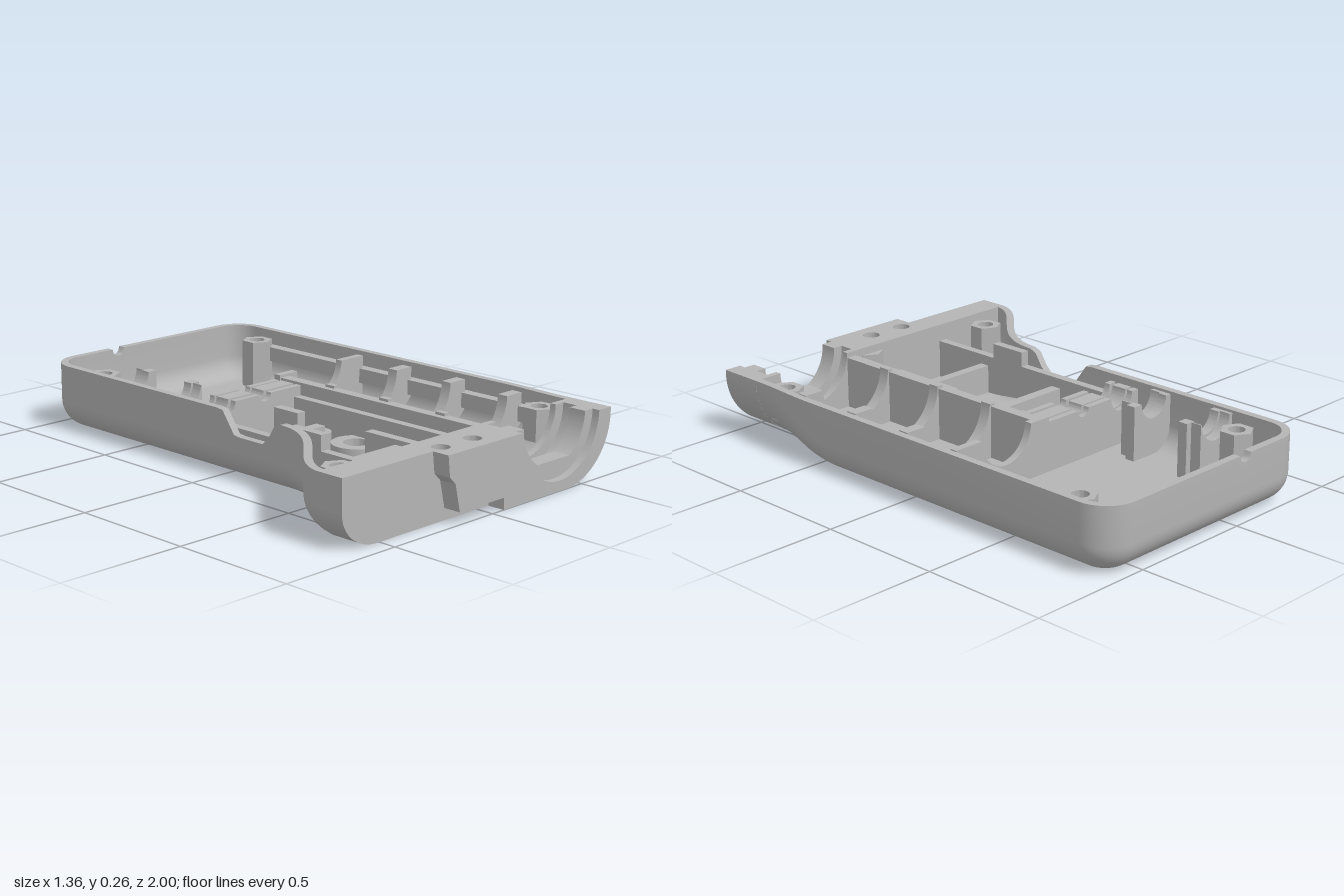
import * as THREE from 'three';
import { toCreasedNormals } from 'three/addons/utils/BufferGeometryUtils.js';

const H = 0.26, WALL = 0.03, FLOOR = 0.035, END = 0.815;

export function createModel() {
  const group = new THREE.Group();
  const grey = new THREE.MeshStandardMaterial({ color: 0xb4b4b4 });
  grey.name = 'plastic grey';

  const add = (name, geometry) => {
    const mesh = new THREE.Mesh(geometry, grey);
    mesh.name = name;
    group.add(mesh);
  };
  const box = (name, x0, x1, y0, y1, z0, z1) =>
    add(name, new THREE.BoxGeometry(x1 - x0, y1 - y0, z1 - z0)
      .translate((x0 + x1) / 2, (y0 + y1) / 2, (z0 + z1) / 2));
  // xy section pushed along z
  const alongZ = (name, shape, z0, z1) =>
    add(name, toCreasedNormals(new THREE.ExtrudeGeometry(shape,
      { depth: z1 - z0, bevelEnabled: false, curveSegments: 32 }).translate(0, 0, z0), 0.5));
  // xz plan raised from y0 to y1
  const upward = (name, shape, y0, y1) =>
    add(name, toCreasedNormals(new THREE.ExtrudeGeometry(shape,
      { depth: y1 - y0, bevelEnabled: false, curveSegments: 24 })
      .rotateX(Math.PI / 2).translate(0, y1, 0), 0.5));
  const hole = (x, z, r) => new THREE.Path().absarc(x, z, r, 0, Math.PI * 2, true);
  const polygon = (pts) => new THREE.Shape(pts.map(([x, y]) => new THREE.Vector2(x, y)));

  // Plan outline, from the left front corner round the back to the right front
  const outline = new THREE.CubicBezierCurve(
    new THREE.Vector2(-0.68, END), new THREE.Vector2(-0.66, 0.65),
    new THREE.Vector2(-0.375, 0.55), new THREE.Vector2(-0.375, 0.33)).getPoints(24);
  for (let z = 0.3; z > -0.1; z -= 0.03) outline.push(new THREE.Vector2(-0.375, z));
  const corner = (cx, cz, a0) => {
    for (let i = 0; i <= 10; i++) {
      const a = a0 + (i / 10) * Math.PI / 2;
      outline.push(new THREE.Vector2(cx + 0.13 * Math.cos(a), cz + 0.13 * Math.sin(a)));
    }
  };
  corner(-0.245, -0.87, Math.PI);
  for (let i = -5; i <= 5; i++) outline.push(new THREE.Vector2(-0.035 + i * 0.006, -1));
  corner(0.545, -0.87, -Math.PI / 2);
  for (let z = 0.3; z < 0.8; z += 0.05)
    outline.push(new THREE.Vector2(0.675 - 0.015 * THREE.MathUtils.smoothstep(z, 0.5, 0.8), z));
  outline.push(new THREE.Vector2(0.66, END));

  // Rim height: side cut-out and small cable notch at the back
  const rim = (p) => {
    if (p.y < -0.99) return H - Math.sqrt(Math.max(0, 0.0009 - (p.x + 0.035) ** 2));
    if (p.x < -0.36 && p.x > -0.38) {
      const s = THREE.MathUtils.smoothstep;
      return H - 0.09 * s(p.y, 0.02, 0.1) * (1 - s(p.y, 0.24, 0.32));
    }
    return H;
  };

  // Shell wall: one closed section per outline point, lower edge rounding grows to the front
  const bottom = [];
  const columns = outline.map((p, i) => {
    const a = outline[Math.max(i - 1, 0)], b = outline[Math.min(i + 1, outline.length - 1)];
    const t = b.clone().sub(a).normalize();
    let n = new THREE.Vector2(-t.y, t.x);
    if (i === 0) n = new THREE.Vector2(1, 0);
    if (i === outline.length - 1) n = new THREE.Vector2(-1, 0);
    const s = THREE.MathUtils.smoothstep(p.y, 0.4, 0.8);
    const rx = 0.11 + (p.x > 0 ? 0.14 : 0.06) * s, ry = 0.11 + (p.x > 0 ? 0.13 : 0.03) * s;
    const at = (inset, y) => [p.x + n.x * inset, y, p.y + n.y * inset];
    const col = [];
    for (let k = 0; k <= 10; k++) {
      const g = (k / 10) * Math.PI / 2;
      col.push(at(rx * (1 - Math.sin(g)), ry * (1 - Math.cos(g))));
    }
    col.push(at(0, rim(p)), at(WALL, rim(p)));
    for (let k = 10; k >= 0; k--) {
      const g = (k / 10) * Math.PI / 2;
      col.push(at(WALL + (rx - 0.02) * (1 - Math.sin(g)), FLOOR + (ry - 0.02) * (1 - Math.cos(g))));
    }
    bottom.push([col[0][0], col[0][2]]);
    return col;
  });
  const index = [], rows = columns[0].length;
  for (let i = 0; i < columns.length - 1; i++)
    for (let j = 0; j < rows - 1; j++) {
      const a = i * rows + j, b = a + rows;
      index.push(a, a + 1, b + 1, a, b + 1, b);
    }
  const shell = new THREE.BufferGeometry();
  shell.setAttribute('position', new THREE.Float32BufferAttribute(columns.flat(2), 3));
  shell.setIndex(index);
  add('shellWall', toCreasedNormals(shell, 0.6));

  // Floor slab with two through holes
  const floor = polygon(bottom);
  floor.holes.push(hole(0.06, 0.29, 0.05), hole(0.06, 0.08, 0.03));
  upward('floor', floor, 0, FLOOR);

  // Front block in slices: the round port changes radius along its depth
  const frontSlice = (z0, z1, R, wide, pocket) => {
    const s = new THREE.Shape();
    if (wide) {
      s.moveTo(-0.68, H); s.lineTo(-0.68, 0.14);
      s.absellipse(-0.51, 0.14, 0.17, 0.14, Math.PI, Math.PI * 1.5, false);
    } else {
      s.moveTo(-0.24, H);
      [[-0.23, 0.18], [-0.2, 0.15], [-0.175, 0.045], [0.06, 0.045], [0.06, 0]]
        .forEach(([x, y]) => s.lineTo(x, y));
    }
    s.absellipse(0.41, 0.24, 0.25, 0.24, -Math.PI / 2, 0, false);
    s.lineTo(0.66, H);
    s.absarc(0.37, H, R, 0, Math.PI, true);
    if (pocket) [[0.03, H], [0.03, 0.19], [-0.225, 0.19], [-0.225, H]]
      .forEach(([x, y]) => s.lineTo(x, y));
    alongZ('frontBlock', s, z0, z1);
  };
  [[END, 0.84, 0.17, true, false], [0.84, 0.87, 0.215, true, false],
    [0.87, 0.9, 0.215, true, true], [0.9, 0.93, 0.175, true, true],
    [0.93, 0.955, 0.175, false, true], [0.955, 0.97, 0.175, false, false],
    [0.97, 1, 0.22, false, false]].forEach((a) => frontSlice(...a));
  const plate = polygon([[-0.225, 0.87], [0.03, 0.87], [0.03, 0.955], [-0.225, 0.955]]);
  plate.holes.push(hole(-0.18, 0.912, 0.034), hole(-0.02, 0.917, 0.034));
  upward('pegHolePlate', plate, 0.19, H);
  box('portPad', 0.26, 0.48, 0.05, 0.11, 0.9, 0.97);

  // Cross ribs with round saddles; cl and cr chamfer the lower corners
  const rib = (name, x0, x1, top, notches, z0, z1, cl, cr) => {
    const y0 = 0.03, s = new THREE.Shape();
    s.moveTo(x0, top); s.lineTo(x0, y0 + cl); s.lineTo(x0 + cl, y0);
    s.lineTo(x1 - cr, y0); s.lineTo(x1, y0 + cr); s.lineTo(x1, top);
    notches.forEach(([cx, r]) => s.absarc(cx, top, r, 0, Math.PI, true));
    alongZ(name, s, z0, z1);
  };
  rib('bayEndWall', 0.15, 0.62, 0.25, [[0.37, 0.125]], -0.24, -0.21, 0, 0.05);
  [0.01, 0.29, 0.57].forEach((z) =>
    rib('baySaddle', 0.18, 0.62, 0.25, [[0.37, 0.165]], z, z + 0.045, 0, 0.1));
  [-0.65, -0.4].forEach((z) => {
    const step = z < -0.5 ? -0.045 : 0.04;
    rib('sideSaddle', -0.35, -0.165, 0.25, [[-0.25, 0.08]], z + step, z + step + 0.045, 0.07, 0);
    rib('sideSaddleLip', -0.35, -0.14, 0.25, [[-0.25, 0.07]], z, z + 0.04, 0.07, 0);
  });
  [[-0.24, -0.215], [-0.205, -0.14], [-0.125, -0.1]].forEach(([z0, z1]) =>
    rib('crossWall', -0.35, 0.155, 0.23, [[-0.035, 0.03], [-0.25, 0.06]], z0, z1, 0.07, 0));

  // Lengthwise walls and the small compartment
  box('divider', 0.155, 0.2, 0.03, 0.24, -0.24, 0.82);
  box('dividerLedge', 0.12, 0.155, 0.03, 0.19, -0.1, 0.74);
  box('compartmentWall', -0.34, -0.305, 0.03, 0.19, -0.1, 0.82);
  box('compartmentTab', -0.34, -0.305, 0.19, 0.25, 0.34, 0.5);
  box('innerWall', 0.01, 0.05, 0.03, 0.17, 0.38, 0.71);
  box('innerWall', 0.01, 0.05, 0.03, 0.17, -0.1, 0.03);
  box('compartmentRib', -0.31, 0.01, 0.03, 0.15, 0.13, 0.175);
  box('compartmentRib', -0.31, 0.01, 0.03, 0.15, 0.53, 0.57);
  box('sideRail', 0.6, 0.65, 0.14, 0.2, -0.82, 0.7);

  // Round collars over the floor holes
  [[0.06, 0.29, 0.097, 0.05], [0.06, 0.08, 0.058, 0.03]].forEach(([x, z, R, r]) => {
    const s = new THREE.Shape().absarc(x, z, R, 0, Math.PI * 2, false);
    s.holes.push(hole(x, z, r));
    upward('holeCollar', s, 0.03, 0.1);
  });

  // Hexagonal screw posts
  [[-0.265, -0.78, 0.03], [0.57, -0.78, 0.03], [0.57, 0.74, 0.105],
    [-0.51, 0.75, 0.03], [0.065, 0.845, 0.03]].forEach(([x, z, y0]) => {
    const pts = [];
    for (let i = 0; i < 6; i++) {
      const a = Math.PI / 6 + i * Math.PI / 3;
      pts.push([x + 0.064 * Math.cos(a), z + 0.064 * Math.sin(a)]);
    }
    const s = polygon(pts);
    s.holes.push(hole(x, z, 0.032));
    upward('screwPost', s, y0, 0.23);
  });

  return group;
}
